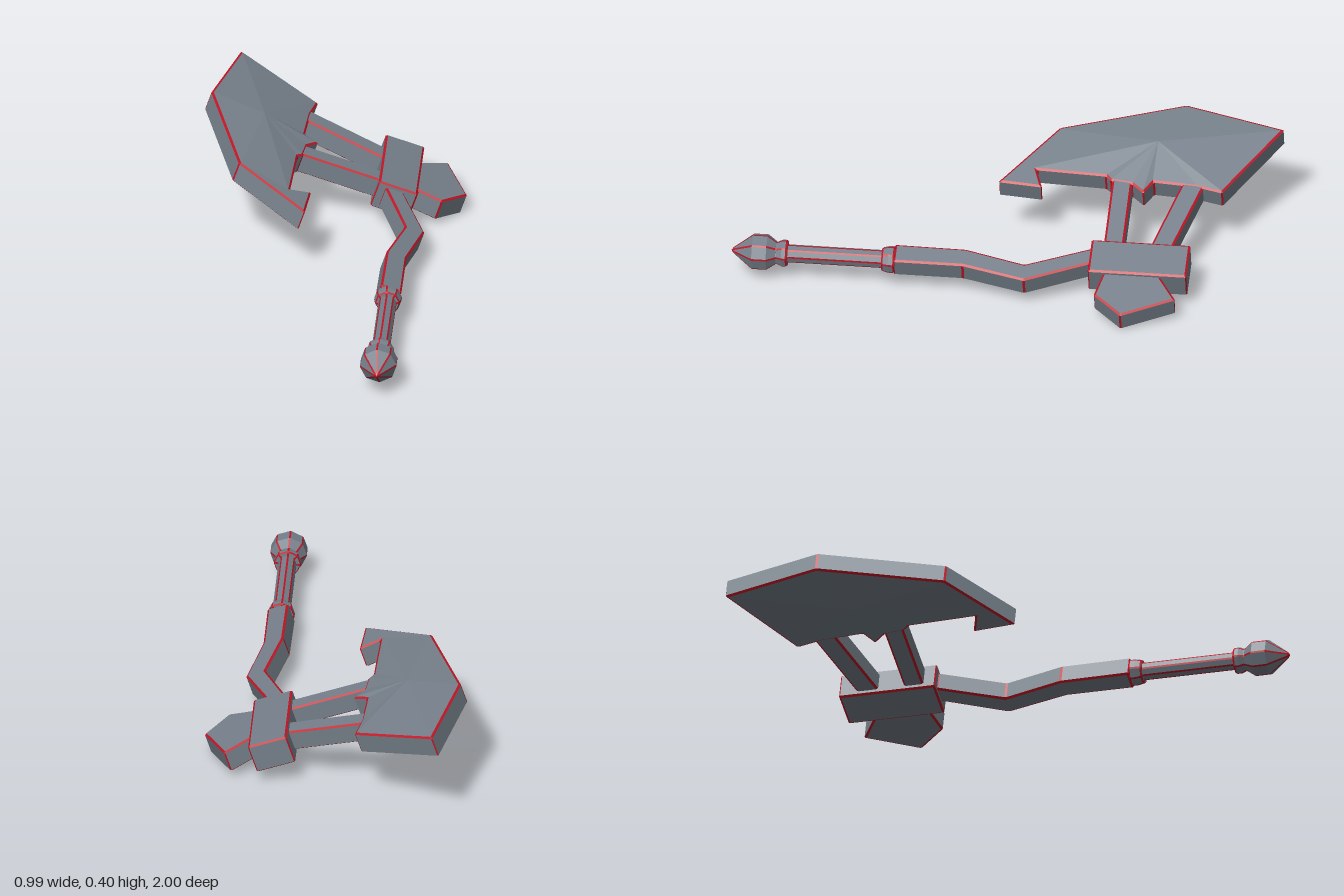
import * as THREE from 'three';

const steel = new THREE.MeshStandardMaterial({ color: 0x76808a });
steel.name = 'steel';
const redEdge = new THREE.MeshStandardMaterial({ color: 0xc01424 });
redEdge.name = 'red edge';

// Collects triangles for the two colours and makes one flat-shaded mesh
class Facets {
  constructor() { this.lists = [[], []]; }
  tri(m, a, b, c) { this.lists[m].push(a, b, c); }
  quad(m, a, b, c, d) { this.tri(m, a, b, c); this.tri(m, a, c, d); }
  mesh(name) {
    const [a, b] = this.lists;
    const g = new THREE.BufferGeometry().setFromPoints([...a, ...b]);
    g.addGroup(0, a.length, 0);
    g.addGroup(a.length, b.length, 1);
    g.computeVertexNormals();
    const mesh = new THREE.Mesh(g, [steel, redEdge]);
    mesh.name = name;
    return mesh;
  }
}

// Plate from an [x, z] outline (counter-clockwise from above), half-thickness h,
// with red chamfers of size c on every edge and an optional raised centre
function plate(name, outline, h, c = 0.008, bulge = null) {
  const f = new Facets();
  const pts = outline.map(([x, z]) => new THREE.Vector2(x, -z));
  const n = pts.length;
  const cuts = [], inset = [];
  pts.forEach((p, i) => {
    const d1 = p.clone().sub(pts[(i + n - 1) % n]).normalize();
    const d2 = pts[(i + 1) % n].clone().sub(p).normalize();
    const n1 = new THREE.Vector2(-d1.y, d1.x), n2 = new THREE.Vector2(-d2.y, d2.x);
    const k = c / Math.max(0.3, 1 + n1.dot(n2));
    inset.push(p.clone().addScaledVector(n1, k).addScaledVector(n2, k));
    cuts.push([p.clone().addScaledVector(d1, -c * 0.6), p.clone().addScaledVector(d2, c * 0.6)]);
  });
  const at = (p, y) => new THREE.Vector3(p.x, y, -p.y);
  const e = h - c * 0.7;
  for (let i = 0; i < n; i++) {
    const j = (i + 1) % n;
    const [a, b] = cuts[i], d = cuts[j][0];
    f.quad(1, at(a, -e), at(b, -e), at(b, e), at(a, e));
    f.quad(0, at(b, -e), at(d, -e), at(d, e), at(b, e));
  }
  for (const s of [1, -1]) {
    const tri = (m, p, q, r) => (s > 0 ? f.tri(m, p, q, r) : f.tri(m, p, r, q));
    for (let i = 0; i < n; i++) {
      const j = (i + 1) % n;
      const [a, b] = cuts[i], d = cuts[j][0];
      const top = at(inset[i], s * h), next = at(inset[j], s * h);
      tri(1, at(a, s * e), at(b, s * e), top);
      tri(1, at(b, s * e), at(d, s * e), next);
      tri(1, at(b, s * e), next, top);
    }
    if (bulge) {
      const apex = new THREE.Vector3(bulge.x, s * bulge.h, bulge.z);
      bulge.ring.forEach((k, i) => {
        const l = bulge.ring[(i + 1) % bulge.ring.length];
        tri(0, apex, at(inset[k], s * h), at(inset[l], s * h));
      });
      bulge.flat.forEach((t) => tri(0, ...t.map((k) => at(inset[k], s * h))));
    } else {
      THREE.ShapeUtils.triangulateShape(inset, []).forEach((t) => {
        const [p, q, r] = t.map((k) => inset[k]);
        const ccw = q.clone().sub(p).cross(r.clone().sub(p)) > 0;
        tri(0, at(p, s * h), at(ccw ? q : r, s * h), at(ccw ? r : q, s * h));
      });
    }
  }
  return f.mesh(name);
}

// Eight-sided turned part along z with thin red edges; profile is [z, r, redBand]
function turned(name, profile, x) {
  const f = new Facets();
  const rings = profile.map(([z, r]) => {
    const half = Math.min(0.3, 0.0035 / r);
    const ring = [];
    for (let k = 0; k < 8; k++) {
      for (const s of [-1, 1]) {
        const a = (k + 0.5) * Math.PI / 4 + s * half;
        ring.push(new THREE.Vector3(x + r * Math.cos(a), r * Math.sin(a), z));
      }
    }
    return ring;
  });
  for (let i = 0; i < rings.length - 1; i++) {
    for (let k = 0; k < 16; k++) {
      const l = (k + 1) % 16;
      const m = profile[i][2] || k % 2 === 0 ? 1 : 0;
      f.quad(m, rings[i][k], rings[i][l], rings[i + 1][l], rings[i + 1][k]);
    }
  }
  return f.mesh(name);
}

export function createModel() {
  const axe = new THREE.Group();
  axe.name = 'axe';
  axe.position.y = 0.205;
  axe.rotation.z = -0.3225;

  // Broad blade with hooked beard and raised centre
  axe.add(plate('blade', [
    [-0.42, -1.0], [-0.51, -0.625], [-0.367, -0.165], [-0.093, 0.038], [-0.08, -0.127],
    [-0.16, -0.1], [-0.15, -0.36], [-0.13, -0.38], [-0.12, -0.46], [-0.08, -0.507],
    [-0.135, -0.54], [-0.125, -0.7], [-0.103, -0.8],
  ], 0.042, 0.008, {
    x: -0.305, z: -0.54, h: 0.072,
    ring: [0, 1, 2, 5, 6, 7, 8, 9, 10, 11, 12],
    flat: [[2, 3, 5], [3, 4, 5]],
  }));

  // Struts joining the blade to the socket
  axe.add(plate('upperStrut', [[-0.15, -0.735], [-0.15, -0.65], [0.2, -0.55], [0.2, -0.633]], 0.039));
  axe.add(plate('lowerStrut', [[-0.16, -0.46], [-0.16, -0.385], [0.2, -0.385], [0.2, -0.46]], 0.039));

  // Socket block and rear spike
  axe.add(plate('socket', [[0.166, -0.71], [0.166, -0.34], [0.318, -0.34], [0.318, -0.71]], 0.056));
  axe.add(plate('rearSpike', [
    [0.29, -0.6], [0.29, -0.4], [0.32, -0.395], [0.417, -0.372], [0.508, -0.48], [0.417, -0.678], [0.32, -0.615],
  ], 0.042));

  // Bent upper handle
  axe.add(plate('handle', [
    [0.18, -0.4], [0.197, -0.34], [0.291, -0.1], [0.236, 0.125], [0.233, 0.39],
    [0.315, 0.39], [0.315, 0.13], [0.368, -0.105], [0.27, -0.34], [0.25, -0.4],
  ], 0.041));

  // Grip, collars and pommel
  axe.add(turned('grip', [[0.38, 0.034], [0.84, 0.034]], 0.275));
  axe.add(turned('upperCollar', [
    [0.385, 0.03], [0.386, 0.047, 1], [0.393, 0.051], [0.41, 0.051], [0.43, 0.046, 1], [0.436, 0.042], [0.437, 0.03],
  ], 0.275));
  axe.add(turned('lowerCollar', [
    [0.788, 0.03], [0.789, 0.047, 1], [0.796, 0.051], [0.81, 0.051], [0.83, 0.042], [0.85, 0.042],
  ], 0.275));
  axe.add(turned('pommel', [
    [0.832, 0.03], [0.833, 0.044], [0.866, 0.068], [0.92, 0.068], [0.993, 0.011, 1], [1.0, 0.001],
  ], 0.275));

  const model = new THREE.Group();
  model.name = 'battleAxe';
  model.add(axe);
  return model;
}
